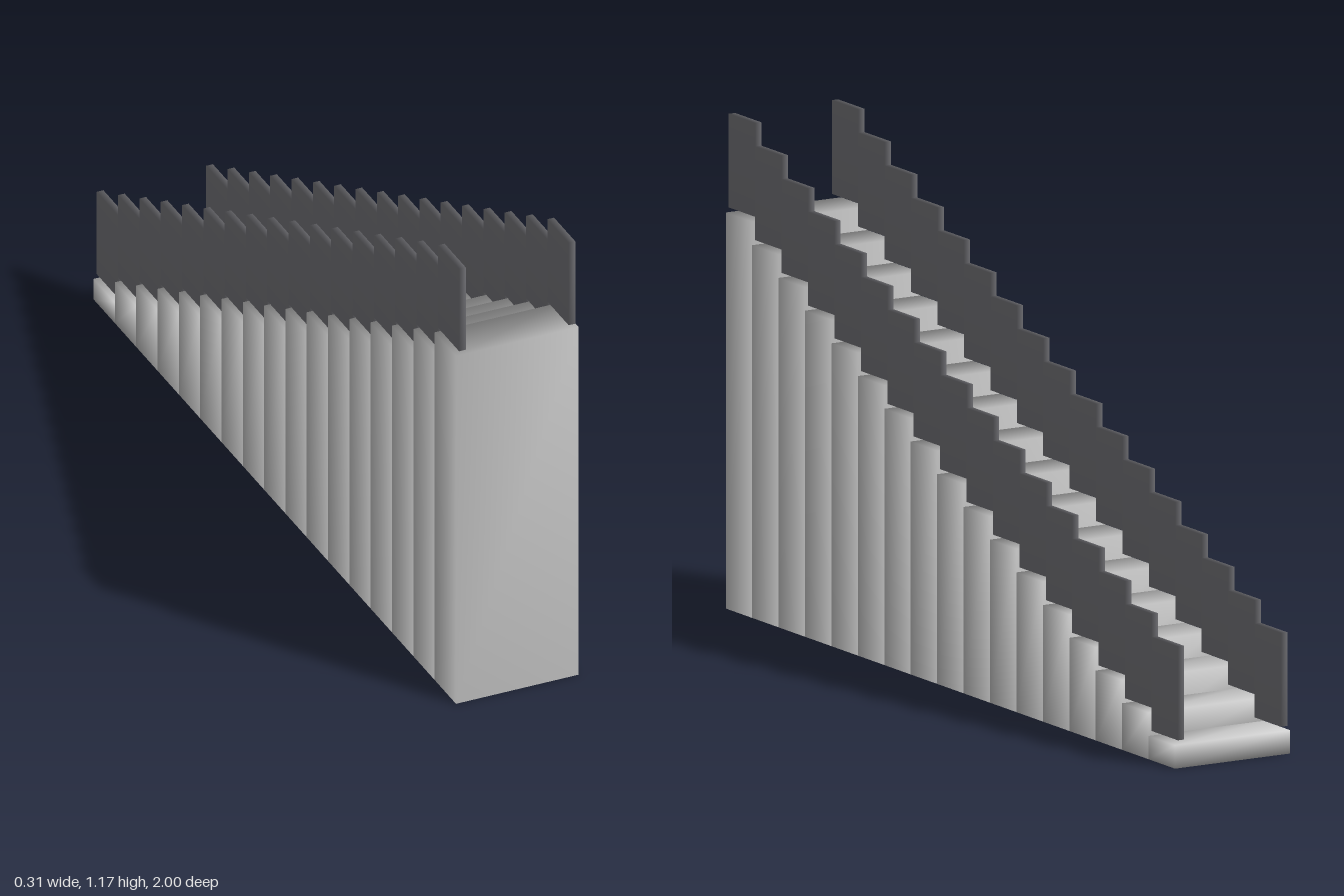
import * as THREE from 'three';
import { mergeVertices } from 'three/addons/utils/BufferGeometryUtils.js';

const STEPS = 17;
const DEPTH = 2 / STEPS;
const RISE = 0.0552;
const WIDTH = 0.312;
const PANEL = { thickness: 0.017, height: 0.222, gap: 0.011, x: 0.1395 };

// Box with corners shared between its faces, so the shading runs softly over the edges
function softBox(w, h, d) {
  const box = new THREE.BoxGeometry(w, h, d);
  box.deleteAttribute('normal');
  box.deleteAttribute('uv');
  const geometry = mergeVertices(box);
  geometry.computeVertexNormals();
  return geometry;
}

export function createModel() {
  const model = new THREE.Group();
  model.name = 'staircase';
  const stepMaterial = new THREE.MeshStandardMaterial({ color: 0xcccccc });
  const panelMaterial = new THREE.MeshStandardMaterial({ color: 0x77777c });
  const panelGeometry = softBox(PANEL.thickness, PANEL.height, DEPTH);

  const add = (name, geometry, material, x, y, z) => {
    const mesh = new THREE.Mesh(geometry, material);
    mesh.name = name;
    mesh.position.set(x, y, z);
    model.add(mesh);
  };

  // Solid steps climb from the back to the front, each with a side panel floating just above it
  for (let i = 0; i < STEPS; i++) {
    const top = RISE * (i + 1);
    const z = -1 + DEPTH * (i + 0.5);
    add(`step${i + 1}`, softBox(WIDTH, top, DEPTH), stepMaterial, 0, top / 2, z);

    const panelY = top + PANEL.gap + PANEL.height / 2;
    add(`leftRailPanel${i + 1}`, panelGeometry, panelMaterial, PANEL.x, panelY, z);
    add(`rightRailPanel${i + 1}`, panelGeometry, panelMaterial, -PANEL.x, panelY, z);
  }
  return model;
}
